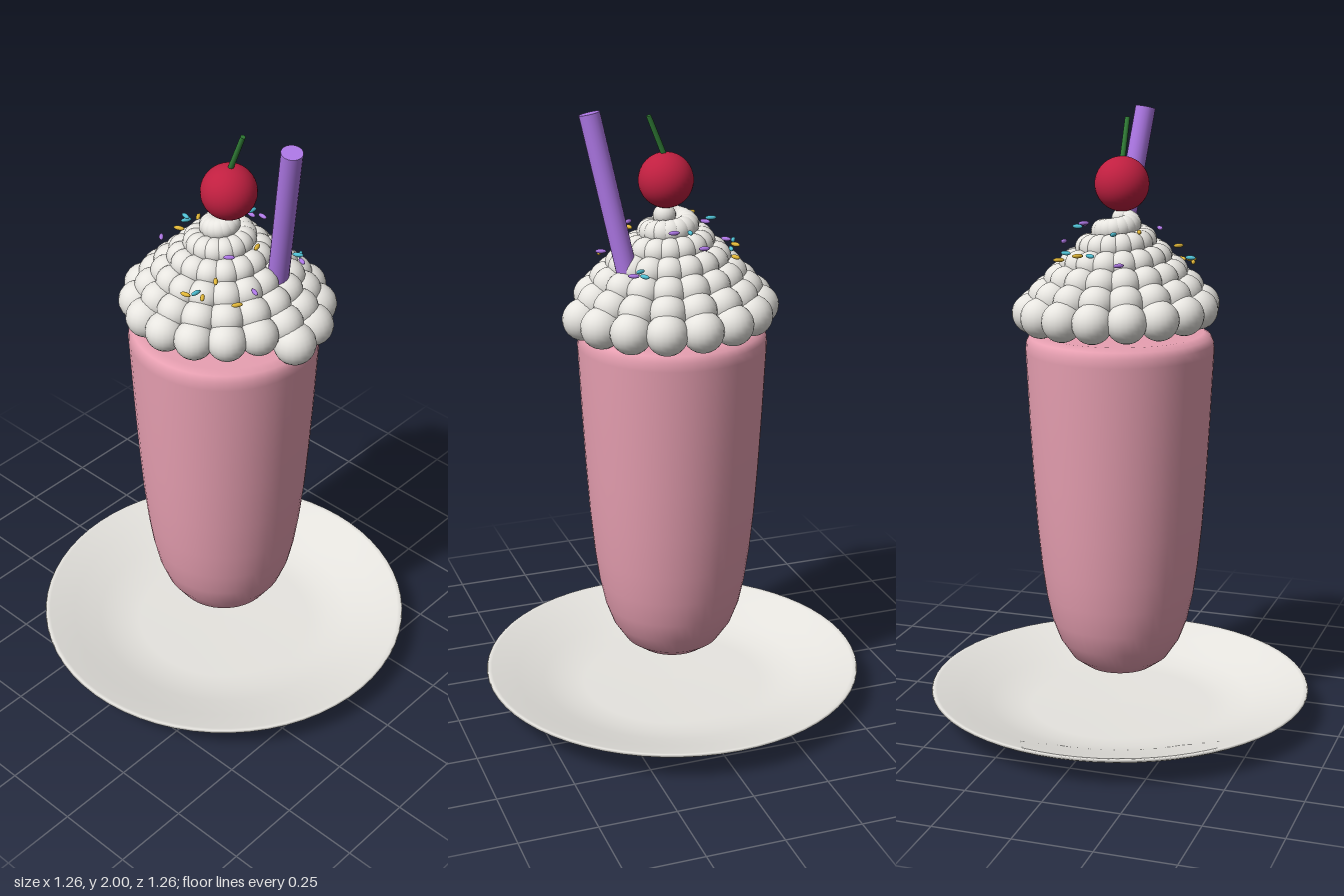
import * as THREE from 'three';

const material = (name, color, side = THREE.FrontSide) => {
  const m = new THREE.MeshStandardMaterial({ color, side });
  m.name = name;
  return m;
};

export function createModel() {
  const root = new THREE.Group();
  root.name = 'milkshake';

  const white = material('white', 0xebe9e4);
  const pink = material('pink', 0xe8a0b2);
  const purple = material('purple', 0xae78e6);
  const red = material('cherry red', 0xc01f40);
  const green = material('stem green', 0x2f7a35);
  const yellow = material('yellow', 0xe2b738);
  const cyan = material('cyan', 0x4fc0d4);

  const add = (name, geometry, mat, parent = root) => {
    const mesh = new THREE.Mesh(geometry, mat);
    mesh.name = name;
    parent.add(mesh);
    return mesh;
  };
  const lathe = (points, segments) =>
    new THREE.LatheGeometry(points.map(([x, y]) => new THREE.Vector2(x, y)), segments);
  // Round bar between two points
  const bar = (name, from, to, r0, r1, mat) => {
    const a = new THREE.Vector3(...from), b = new THREE.Vector3(...to);
    const mesh = add(name, new THREE.CylinderGeometry(r1, r0, a.distanceTo(b), 20), mat);
    mesh.position.copy(a).lerp(b, 0.5);
    mesh.quaternion.setFromUnitVectors(new THREE.Vector3(0, 1, 0), b.sub(a).normalize());
    return mesh;
  };

  // Saucer: underside, rim, then the dished top
  add('saucer', lathe([
    [0, 0], [0.3, 0.003], [0.38, 0.01], [0.45, 0.025], [0.54, 0.056], [0.62, 0.084],
    [0.632, 0.092], [0.628, 0.098], [0.615, 0.096], [0.53, 0.07], [0.44, 0.042],
    [0.37, 0.026], [0.3, 0.02], [0, 0.018],
  ], 64), white);

  // Filled glass, tapering to a rounded foot
  add('glass', lathe([
    [0, 0.16], [0.06, 0.16], [0.115, 0.172], [0.16, 0.205], [0.2, 0.265], [0.226, 0.335],
    [0.244, 0.42], [0.258, 0.52], [0.272, 0.66], [0.283, 0.82], [0.293, 1.0],
    [0.304, 1.24], [0.302, 1.268], [0.293, 1.288], [0.27, 1.3], [0, 1.3],
  ], 48), pink);

  // Whipped cream: one rope of balls winding upward and inward
  const cream = new THREE.Group();
  cream.name = 'whippedCream';
  root.add(cream);
  const ball = new THREE.SphereGeometry(1, 20, 14);
  const perTurn = 16, turns = 6, count = perTurn * turns;
  for (let i = 0; i <= count; i++) {
    const f = i / count, angle = (i / perTurn) * Math.PI * 2;
    const r = 0.295 - 0.272 * f;
    const mesh = add('creamBall', ball, white, cream);
    mesh.position.set(r * Math.cos(angle), 1.346 + 0.314 * f, -r * Math.sin(angle));
    mesh.scale.setScalar(0.067 - 0.033 * f);
  }

  // Straw leaning out of the cream
  bar('straw', [0.13, 1.3, -0.087], [0.265, 1.993, 0], 0.033, 0.033, purple);

  // Cherry and stem
  add('cherry', new THREE.SphereGeometry(0.087, 32, 24), red).position.set(0.02, 1.77, 0);
  bar('cherryStem', [0.02, 1.835, 0], [0.076, 1.974, 0], 0.009, 0.008, green);

  // Sprinkles: x, z and heading, grouped by colour
  const sprinkles = new THREE.Group();
  sprinkles.name = 'sprinkles';
  root.add(sprinkles);
  const grain = new THREE.SphereGeometry(1, 10, 8);
  const scatter = [
    [yellow, [[-0.156, -0.15, -1.1], [-0.183, -0.078, -1.0], [-0.098, 0.095, 0.4], [0.142, 0.007, -1.2],
      [0.115, 0.16, -0.8], [0.193, 0.15, 1.0], [0.054, 0.227, 0.2], [0.105, 0.207, -0.9]]],
    [cyan, [[-0.149, -0.129, 1.4], [-0.193, -0.034, 1.1], [-0.139, 0.024, -0.2], [-0.01, -0.139, 1.5],
      [0.153, -0.183, -1.0], [0.16, -0.163, 0.5], [0.081, 0.21, 1.5]]],
    [purple, [[-0.207, 0.064, -0.8], [-0.075, -0.095, -0.9], [-0.044, -0.173, -0.1], [0.04, -0.132, -0.1],
      [0.18, -0.159, -0.4], [0.112, 0.098, 0.7], [0.207, 0.088, -0.4]]],
  ];
  for (const [mat, spots] of scatter) {
    for (const [x, z, heading] of spots) {
      const mesh = add('sprinkle', grain, mat, sprinkles);
      mesh.position.set(x, 1.79 - 1.13 * Math.hypot(x, z), z);
      mesh.rotation.y = heading;
      mesh.scale.set(0.018, 0.007, 0.007);
    }
  }
  return root;
}
